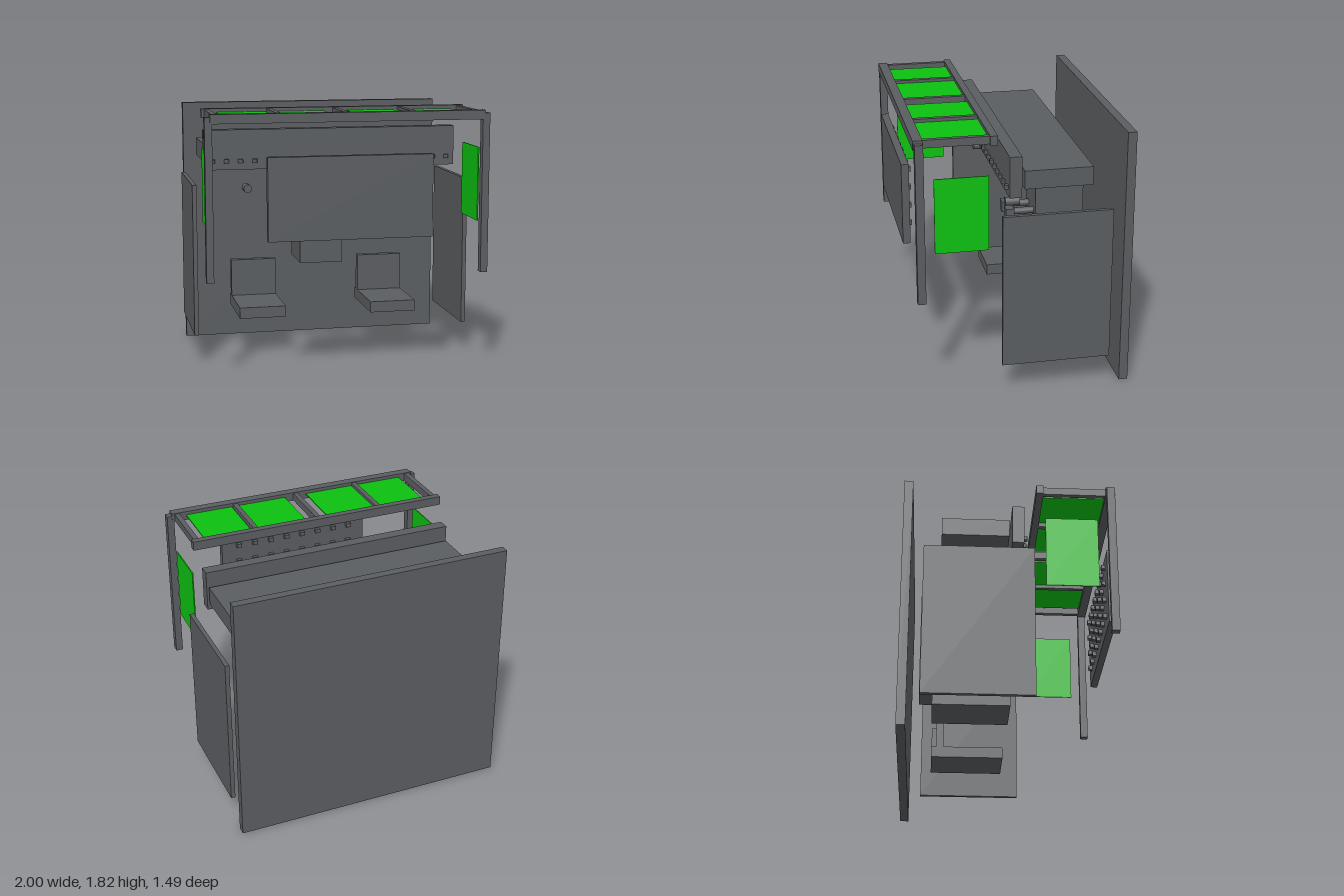
import * as THREE from 'three';

export function createModel() {
  const model = new THREE.Group();
  model.name = 'controlStation';
  const grey = new THREE.MeshStandardMaterial({ color: 0x5a5d60 });
  grey.name = 'slate grey';
  const green = new THREE.MeshStandardMaterial({ color: 0x0dc010 });
  green.name = 'bright green';

  const add = (name, geometry, material = grey) => {
    const mesh = new THREE.Mesh(geometry, material);
    mesh.name = name;
    model.add(mesh);
    return mesh;
  };
  // Box given by its extents on each axis
  const box = (name, [x0, x1], [y0, y1], [z0, z1], material) => {
    const mesh = add(name, new THREE.BoxGeometry(x1 - x0, y1 - y0, z1 - z0), material);
    mesh.position.set((x0 + x1) / 2, (y0 + y1) / 2, (z0 + z1) / 2);
    return mesh;
  };
  // The same box on both sides
  const pair = (name, [x0, x1], y, z, material) => {
    box(name + 'Left', [x0, x1], y, z, material);
    box(name + 'Right', [-x1, -x0], y, z, material);
  };
  const cylinder = (name, r, length, sides, position, material) => {
    const mesh = add(name, new THREE.CylinderGeometry(r, r, length, sides), material);
    mesh.position.set(...position);
    return mesh;
  };

  // Walls
  box('backWall', [-0.975, 0.975], [0, 1.8], [-0.743, -0.682]);
  pair('sideWall', [0.97, 1.0], [0.21, 1.285], [-0.598, 0.145]);

  // Roof frame with posts and cross beams
  const beamY = [1.757, 1.82];
  box('roofFrontBeam', [-0.937, 0.937], beamY, [0.647, 0.712]);
  box('roofBackBeam', [-0.937, 0.937], beamY, [0.165, 0.215]);
  for (const x of [-0.9, -0.465, 0, 0.465, 0.9]) {
    box('roofCrossBeam', [x - 0.018, x + 0.018], [1.762, 1.815], [0.215, 0.647]);
  }
  pair('post', [0.923, 0.973], [0.7, 1.8], [0.65, 0.705]);

  // Green roof panes and side panes
  const paneY = [1.787, 1.795];
  pair('innerRoofPane', [0.082, 0.445], paneY, [0.215, 0.647], green);
  pair('outerRoofPane', [0.492, 0.833], paneY, [0.215, 0.647], green);
  pair('sidePane', [0.932, 0.94], [1.04, 1.555], [0.225, 0.583], green);

  // Front panel with rows of buttons on its inner face
  box('frontPanel', [-0.565, 0.565], [0.97, 1.535], [0.692, 0.743]);
  for (let row = 0; row < 4; row++) {
    for (let col = 0; col < 8; col++) {
      const x = (col - 3.5) * 0.125, y = 1.46 - row * 0.13;
      box('panelButton', [x - 0.018, x + 0.018], [y - 0.015, y + 0.015], [0.665, 0.692]);
    }
  }

  // Instrument strip with hexagonal knobs
  box('instrumentStrip', [-0.91, 0.91], [1.378, 1.66], [0, 0.082]);
  for (let i = 0; i < 18; i++) {
    const knob = cylinder('stripKnob', 0.018, 0.028, 6, [(i - 8.5) * 0.1, 1.44, 0.092]);
    knob.rotation.y = Math.PI / 6;
  }

  // Overhead desk and the lamps beneath it
  box('desk', [-0.9, 0.9], [1.43, 1.556], [-0.48, -0.02]);
  for (const x of [-0.5, 0.5]) {
    cylinder('lampBase', 0.11, 0.016, 24, [x, 1.421, -0.158]);
    cylinder('lampRing', 0.092, 0.016, 24, [x, 1.405, -0.158]);
    cylinder('lampLens', 0.077, 0.022, 24, [x, 1.387, -0.165], green);
  }

  // Round pegs beside the panel
  for (const x of [-0.595, 0.595]) {
    cylinder('peg', 0.03, 0.1, 16, [x, 1.235, 0]).rotation.x = Math.PI / 2;
  }

  // Central cabinet with two pedals on rods
  box('cabinet', [-0.16, 0.16], [0.62, 1.336], [-0.615, -0.265]);
  pair('pedal', [0.037, 0.117], [0.9, 0.98], [-0.12, -0.06]);
  for (const x of [-0.077, 0.077]) {
    cylinder('pedalRod', 0.025, 0.15, 12, [x, 0.95, -0.192]).rotation.x = Math.PI / 2;
  }

  // Seats with backrests and rear supports
  pair('seat', [0.318, 0.655], [0.28, 0.36], [-0.52, 0.0]);
  pair('backrest', [0.318, 0.655], [0.36, 0.632], [-0.485, -0.43]);
  pair('backSupport', [0.463, 0.518], [0.36, 0.56], [-0.518, -0.485]);

  return model;
}
